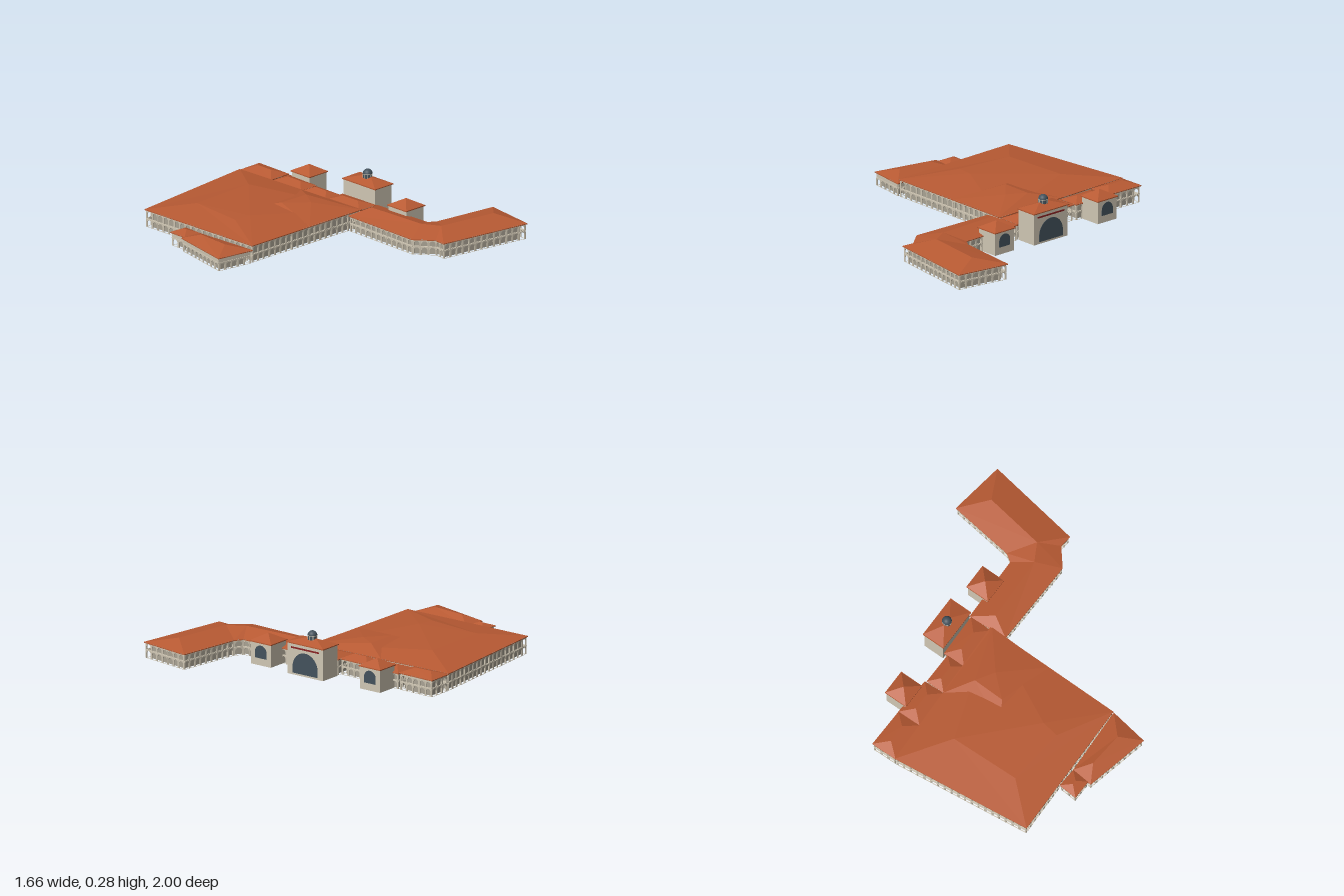
import * as THREE from 'three';
import { mergeGeometries } from 'three/addons/utils/BufferGeometryUtils.js';

const mat = (color, extra = {}) => new THREE.MeshStandardMaterial({ color, ...extra });
const ROOF = mat(0xb85a33, { flatShading: true, side: THREE.DoubleSide });
const STONE = mat(0xd0c7b4);
const WALL = mat(0xaaa394);
const SOFFIT = mat(0x96928a, { side: THREE.DoubleSide });
const SLATE = mat(0x44525c);
const RED = mat(0x8a2424);

function mesh(name, geometry, material, parent) {
  const m = new THREE.Mesh(geometry, material);
  m.name = name;
  parent.add(m);
  return m;
}

const mix = (p, q, t) => p.map((v, i) => v + (q[i] - v) * t);

// Offsets a plan outline inwards by d, mitring the corners
function inset(poly, d) {
  const n = poly.length;
  const area = poly.reduce((s, p, i) => {
    const q = poly[(i + 1) % n];
    return s + p[0] * q[1] - q[0] * p[1];
  }, 0);
  const normal = (p, q) => {
    const l = Math.hypot(q[0] - p[0], q[1] - p[1]) * Math.sign(area);
    return [-(q[1] - p[1]) / l, (q[0] - p[0]) / l];
  };
  return poly.map((p, i) => {
    const a = normal(poly[(i + n - 1) % n], p), b = normal(p, poly[(i + 1) % n]);
    const k = d / (1 + a[0] * b[0] + a[1] * b[1]);
    return [p[0] + (a[0] + b[0]) * k, p[1] + (a[1] + b[1]) * k];
  });
}

// Roof from points [x, y, z] and faces; each triangle is turned to face up
function roofGeometry(points, faces) {
  const out = [], P = points.map((p) => new THREE.Vector3(...p));
  for (const f of faces) {
    for (let i = 1; i < f.length - 1; i++) {
      let [a, b, c] = [P[f[0]], P[f[i]], P[f[i + 1]]];
      const up = b.clone().sub(a).cross(c.clone().sub(a)).y;
      if (up < 0) [b, c] = [c, b];
      for (const v of [a, b, c]) out.push(v.x, v.y, v.z);
    }
  }
  const g = new THREE.BufferGeometry();
  g.setAttribute('position', new THREE.Float32BufferAttribute(out, 3));
  g.computeVertexNormals();
  return g;
}

// Hip roof over four corners, the ridge running between the sides ab and cd
function hipRoof(q, eave, top, f) {
  const m1 = mix(q[0], q[1], 0.5), m2 = mix(q[2], q[3], 0.5);
  const ridge = [mix(m1, m2, f), mix(m1, m2, 1 - f)];
  const pts = [...q.map((p) => [p[0], eave, p[1]]), ...ridge.map((p) => [p[0], top, p[1]])];
  return roofGeometry(pts, [[0, 1, 4], [1, 2, 5, 4], [2, 3, 5], [3, 0, 4, 5]]);
}

// Round-headed outline, used for openings and windows
function archPath(path, x, y0, y1, w) {
  const r = w / 2;
  path.moveTo(x - r, y0);
  path.lineTo(x + r, y0);
  path.lineTo(x + r, y1 - r);
  path.absarc(x, y1 - r, r, 0, Math.PI, false);
  path.lineTo(x - r, y0);
  return path;
}

// One run of arcade between two plan points
function arcadeRun(a, b, height, storeys) {
  const dx = b[0] - a[0], dz = b[1] - a[1], L = Math.hypot(dx, dz);
  const n = Math.max(1, Math.round(L / 0.046)), step = L / n;
  const panel = new THREE.Shape();
  panel.moveTo(0, 0).lineTo(L, 0).lineTo(L, height).lineTo(0, height).lineTo(0, 0);
  const parts = [];
  for (const [y0, y1] of storeys) {
    for (let i = 0; i < n; i++) {
      panel.holes.push(archPath(new THREE.Path(), (i + 0.5) * step, y0, y1, step * 0.72));
    }
    for (let i = 0; i <= n; i++) {
      const shaft = new THREE.CylinderGeometry(0.0045, 0.0045, y1 - y0, 6);
      parts.push(shaft.translate(i * step, (y0 + y1) / 2, 0).toNonIndexed());
    }
  }
  parts.push(new THREE.ExtrudeGeometry(panel, { depth: 0.005, bevelEnabled: false, curveSegments: 6 })
    .translate(0, 0, -0.0025));
  parts.push(new THREE.BoxGeometry(L, 0.004, 0.013).translate(L / 2, 0.0515, 0).toNonIndexed());
  return mergeGeometries(parts).rotateY(Math.atan2(-dz, dx)).translate(a[0], 0, a[1]);
}

// A wing: arcade all round, recessed walls, soffit slab and roof
function wing(name, poly, eave, roof, storeys, parent) {
  const g = new THREE.Group();
  g.name = name;
  parent.add(g);
  const loop = (pts, fn) => mergeGeometries(pts.map((p, i) => fn(p, pts[(i + 1) % pts.length])));
  mesh('arcade', loop(inset(poly, 0.01), (a, b) => arcadeRun(a, b, eave - 0.005, storeys)), STONE, g);
  mesh('recessedWalls', loop(inset(poly, 0.032), (a, b) => {
    const dx = b[0] - a[0], dz = b[1] - a[1];
    return new THREE.BoxGeometry(Math.hypot(dx, dz), eave - 0.005, 0.004)
      .rotateY(Math.atan2(-dz, dx)).translate((a[0] + b[0]) / 2, (eave - 0.005) / 2, (a[1] + b[1]) / 2);
  }), WALL, g);
  const plan = new THREE.Shape(poly.map((p) => new THREE.Vector2(...p)));
  const slab = new THREE.ExtrudeGeometry(plan, { depth: 0.005, bevelEnabled: false });
  mesh('soffit', slab.rotateX(Math.PI / 2).translate(0, eave - 0.0005, 0), [SOFFIT, ROOF], g);
  mesh('roof', roof, ROOF, g);
}

// Entrance tower facing local +x: body, arched window and hip roof
function tower(name, [x, z], depth, width, eave, top, ridgeInset, win, parent) {
  const g = new THREE.Group();
  g.name = name;
  g.position.set(x, 0, z);
  g.rotation.y = -0.177;
  parent.add(g);
  const wd = depth - 0.014, ww = width - 0.014;
  mesh('body', new THREE.BoxGeometry(wd, eave, ww).translate(0, eave / 2, 0), STONE, g);
  const arch = new THREE.ExtrudeGeometry(archPath(new THREE.Shape(), 0, win.y0, win.y1, win.w),
    { depth: 0.004, bevelEnabled: false });
  mesh('archedWindow', arch.rotateY(Math.PI / 2).translate(wd / 2 - 0.002, 0, 0), SLATE, g);
  const d = depth / 2, w = width / 2;
  mesh('roof', hipRoof([[-d, -w], [d, -w], [d, w], [-d, w]], eave, top, ridgeInset), ROOF, g);
  mesh('eaves', new THREE.BoxGeometry(depth, 0.006, width).translate(0, eave - 0.002, 0), ROOF, g);
  return g;
}

export function createModel() {
  const model = new THREE.Group();
  model.name = 'arcadedBuilding';
  const two = (eave) => [[0.001, 0.047], [0.056, eave - 0.012]];
  const at = (poly, y) => poly.map((p) => [p[0], y, p[1]]);

  // Main block with a shallow many-sided roof
  const main = [[-0.445, -1.003], [0.46, -0.947], [0.31, 0.06], [-0.59, -0.105]];
  const mainTop = [[-0.25, 0.146, -0.755], [-0.355, 0.146, -0.4], [-0.25, 0.15, -0.365], [0.19, 0.15, -0.69]];
  wing('mainBlock', main, 0.112, roofGeometry([...at(main, 0.112), ...mainTop],
    [[0, 1, 7, 4], [1, 2, 7], [2, 3, 6], [2, 6, 7], [3, 5, 6], [3, 0, 4, 5], [4, 5, 6, 7]]), two(0.112), model);

  // Inner block rising through the main roof
  const inner = [[-0.03, -0.5], [0.38, -0.44], [0.3, 0.062], [-0.115, -0.022]];
  wing('innerBlock', inner, 0.113, roofGeometry(
    [...at(inner, 0.113), [0.04, 0.152, -0.34], [0.24, 0.152, -0.3], [0.15, 0.15, -0.2]],
    [[0, 1, 5, 4], [1, 2, 5], [2, 6, 5], [2, 3, 6], [3, 4, 6], [3, 0, 4], [4, 5, 6]]), two(0.112), model);

  // Row of small hipped pavilions along the entrance side
  const pavilions = [
    [[0.455, -0.947], [0.624, -0.92], [0.572, -0.665], [0.42, -0.69]],
    [[0.42, -0.69], [0.575, -0.665], [0.515, -0.42], [0.38, -0.44]],
    [[0.38, -0.44], [0.505, -0.415], [0.465, -0.21], [0.34, -0.23]],
    [[0.34, -0.24], [0.49, -0.21], [0.445, 0.07], [0.3, 0.045]],
  ];
  pavilions.forEach((q, i) => {
    const eave = i === 0 ? 0.108 : 0.102;
    wing('pavilion' + (i + 1), q, eave, hipRoof(q, eave, eave + 0.027, 0.28), two(0.102), model);
  });

  // Bent front wing
  const bent = [[0.2, 0.04], [0.085, 0.59], [0.155, 0.715], [0.132, 0.79], [0.715, 0.992],
    [0.83, 0.656], [0.43, 0.53], [0.386, 0.49], [0.455, 0.07]];
  const ridge = [[0.31, 0.14, 0.13], [0.25, 0.14, 0.54], [0.29, 0.14, 0.66], [0.655, 0.14, 0.785]];
  wing('bentWing', bent, 0.1, roofGeometry([...at(bent, 0.1), ...ridge],
    [[0, 1, 10, 9], [1, 2, 11, 10], [2, 3, 11], [3, 4, 12, 11], [4, 5, 12], [5, 6, 11, 12],
      [6, 7, 10, 11], [7, 8, 9, 10], [8, 0, 9]]), two(0.1), model);

  // Lower wings at the right side, arcaded on the ground floor only
  const sideLarge = [[-0.665, -0.575], [-0.53, -0.535], [-0.59, -0.1], [-0.83, -0.183]];
  const sideSmall = [[-0.62, -0.69], [-0.5, -0.66], [-0.53, -0.535], [-0.645, -0.565]];
  wing('sideWing', sideLarge, 0.085, hipRoof(sideLarge, 0.085, 0.12, 0.24), [[0.001, 0.045]], model);
  wing('sideAnnex', sideSmall, 0.085, hipRoof(sideSmall, 0.085, 0.108, 0.4), [[0.001, 0.045]], model);

  // Entrance towers
  const small = { y0: 0.045, y1: 0.125, w: 0.088 };
  tower('backTower', [0.601, -0.536], 0.155, 0.166, 0.145, 0.19, 0.5, small, model);
  tower('frontTower', [0.454, 0.284], 0.16, 0.166, 0.145, 0.19, 0.5, small, model);
  const hall = tower('mainTower', [0.541, -0.062], 0.153, 0.285, 0.2, 0.232, 0.4,
    { y0: 0.012, y1: 0.147, w: 0.19 }, model);
  mesh('redBand', new THREE.BoxGeometry(0.004, 0.01, 0.215).translate(0.07, 0.17, 0), RED, hall);

  // Ribbed lantern and dome
  mesh('lanternDrum', new THREE.CylinderGeometry(0.028, 0.028, 0.026, 16).translate(0, 0.235, 0), SLATE, hall);
  mesh('dome', new THREE.SphereGeometry(0.03, 20, 8, 0, Math.PI * 2, 0, Math.PI / 2)
    .translate(0, 0.247, 0), SLATE, hall);
  mesh('domeRing', new THREE.TorusGeometry(0.029, 0.002, 6, 20).rotateX(Math.PI / 2)
    .translate(0, 0.248, 0), STONE, hall);
  const posts = [];
  for (let i = 0; i < 8; i++) {
    posts.push(new THREE.BoxGeometry(0.004, 0.026, 0.004).translate(0.028, 0.235, 0).rotateY(i * Math.PI / 4));
  }
  mesh('lanternPosts', mergeGeometries(posts), STONE, hall);
  return model;
}
